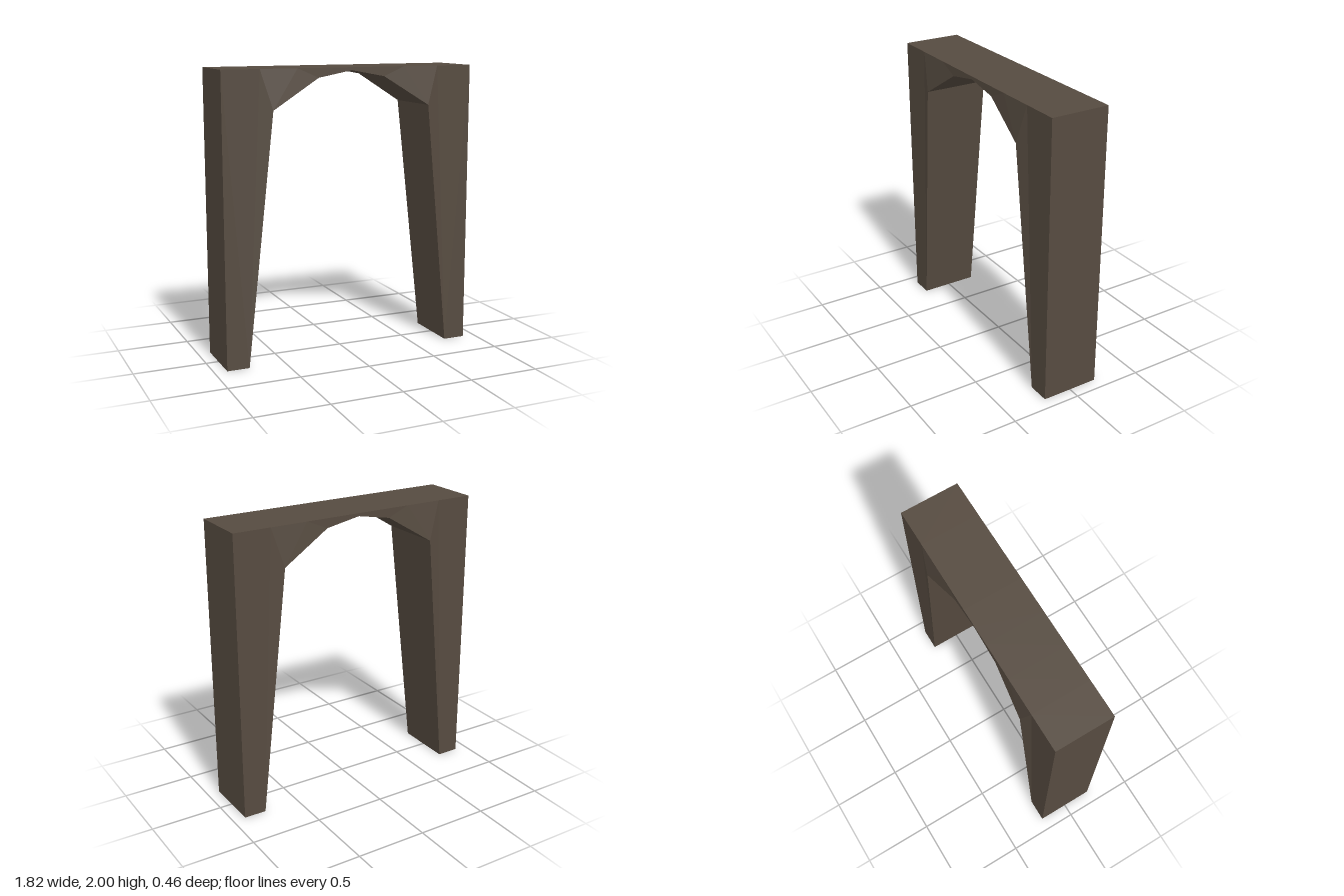
import * as THREE from 'three';

const HEIGHT = 2, HALF_DEPTH = 0.206;

// Cross-sections from the outer wall to the crown: top x, lower x, lower y, lower half depth
const sections = [
  [0.912, 0.912, 0, HALF_DEPTH],
  [0.65, 0.755, 0, HALF_DEPTH],
  [0.39, 0.57, 1.732, 0.232], // haunch swells outwards
  [0.13, 0.24, 1.935, HALF_DEPTH],
  [0, 0, 1.98, HALF_DEPTH],
];

// One half of the arch; side is +1 for the left half, -1 for the right
function halfArch(side) {
  const positions = [];
  const quad = (a, b, c, d, flip) => {
    const corners = flip ? [a, c, b, a, d, c] : [a, b, c, a, c, d];
    corners.forEach((p) => positions.push(...p));
  };
  const top = (s, f) => [side * s[0], HEIGHT, f * HALF_DEPTH];
  const low = (s, f) => [side * s[1], s[2], f * s[3]];
  const mirrored = side < 0;

  for (let i = 0; i < sections.length - 1; i++) {
    const a = sections[i], b = sections[i + 1];
    // front and back faces
    for (const f of [1, -1]) {
      quad(top(a, f), top(b, f), low(b, f), low(a, f), side * f < 0);
    }
    // top and underside
    quad(top(a, 1), top(a, -1), top(b, -1), top(b, 1), mirrored);
    quad(low(a, 1), low(b, 1), low(b, -1), low(a, -1), mirrored);
  }
  // outer wall
  const outer = sections[0];
  quad(top(outer, 1), low(outer, 1), low(outer, -1), top(outer, -1), mirrored);

  const geometry = new THREE.BufferGeometry();
  geometry.setAttribute('position', new THREE.Float32BufferAttribute(positions, 3));
  geometry.computeVertexNormals();
  return geometry;
}

export function createModel() {
  const model = new THREE.Group();
  model.name = 'archway';
  const stone = new THREE.MeshStandardMaterial({ color: 0x564b40 });
  stone.name = 'brown stone';
  for (const [name, side] of [['leftArchHalf', 1], ['rightArchHalf', -1]]) {
    const mesh = new THREE.Mesh(halfArch(side), stone);
    mesh.name = name;
    model.add(mesh);
  }
  return model;
}
